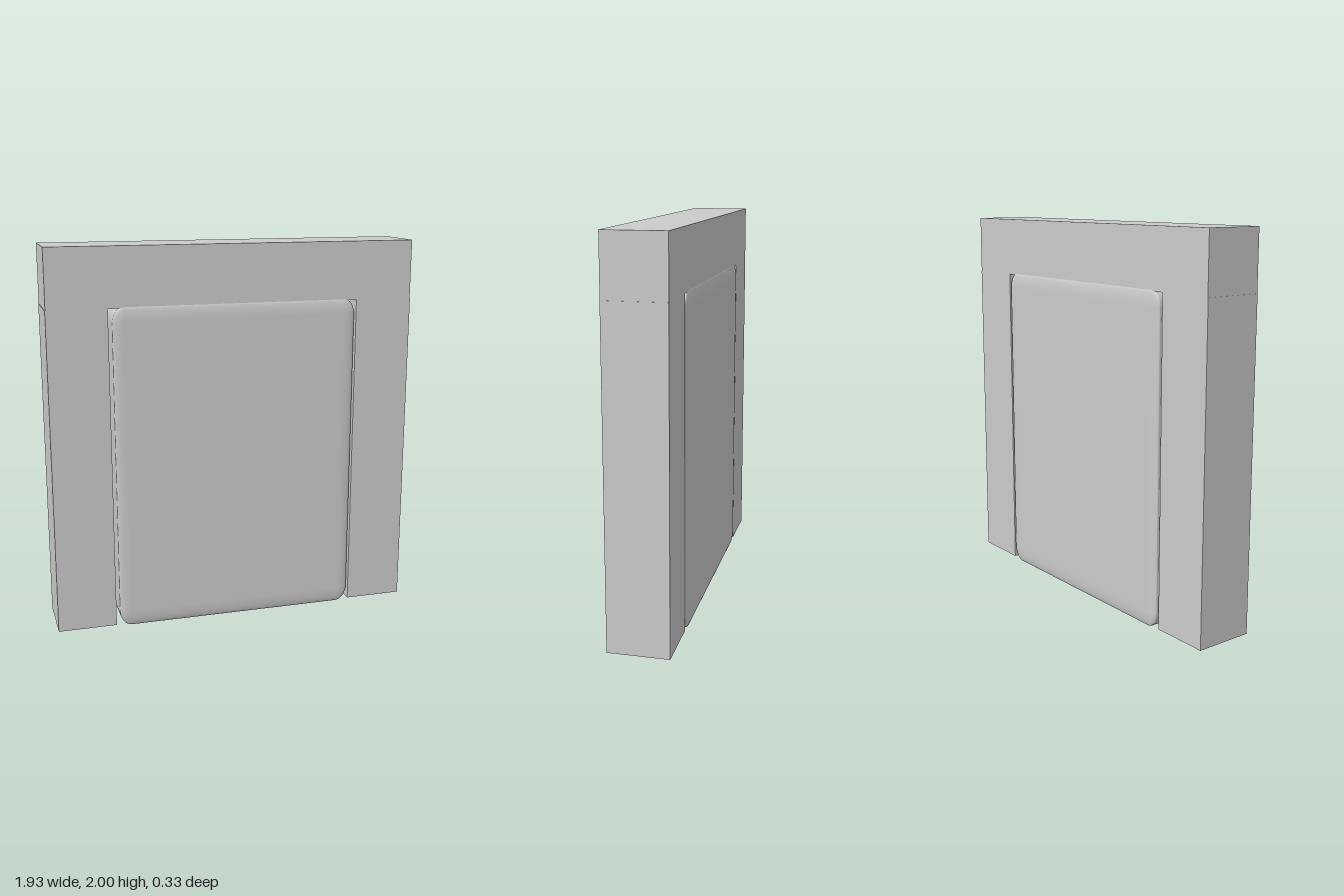
import * as THREE from 'three';
import { RoundedBoxGeometry } from 'three/addons/geometries/RoundedBoxGeometry.js';

export function createModel() {
  const model = new THREE.Group();
  model.name = 'doorway';
  const material = new THREE.MeshStandardMaterial({ color: 0xcccccc });

  const add = (name, geometry, x, y, z = 0) => {
    const mesh = new THREE.Mesh(geometry, material);
    mesh.name = name;
    mesh.position.set(x, y, z);
    model.add(mesh);
  };

  // Square-edged frame: two posts carrying a slightly narrower lintel
  const depth = 0.312, postTop = 1.694, postBottom = 0.01;
  for (const [name, x] of [['leftPost', 0.809], ['rightPost', -0.813]]) {
    add(name, new THREE.BoxGeometry(0.307, postTop - postBottom, depth), x, (postTop + postBottom) / 2);
  }
  add('lintel', new THREE.BoxGeometry(1.925, 2 - postTop, depth), -0.002, (2 + postTop) / 2);

  // Door slab: a bevelled cube stretched to size, so its rounding is shallow in depth
  const door = new RoundedBoxGeometry(2, 2, 2, 5, 0.1);
  door.scale(0.643, 0.852, 0.167);
  add('door', door, 0.003, 0.853);

  return model;
}
